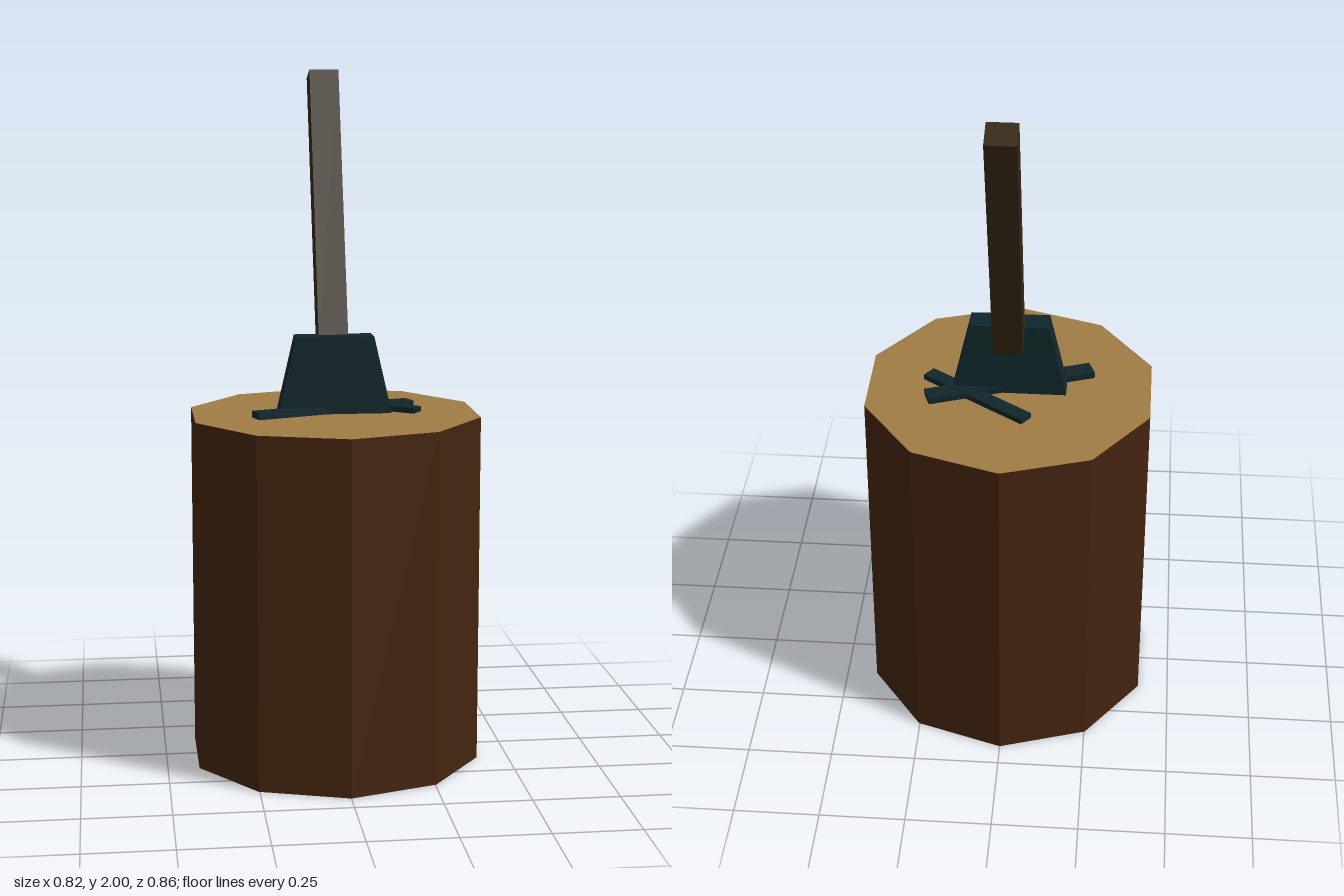
import * as THREE from 'three';

const mat = (name, color) => {
  const m = new THREE.MeshStandardMaterial({ color });
  m.name = name;
  m.flatShading = true;
  return m;
};

export function createModel() {
  const bark = mat('bark', 0x44240f);
  const cutWood = mat('cutWood', 0xa07c43);
  const iron = mat('iron', 0x0f262b);
  const handleWood = mat('handleWood', 0x352813);

  const model = new THREE.Group();
  model.name = 'axeInStump';
  const add = (name, geometry, material) => {
    const mesh = new THREE.Mesh(geometry, material);
    mesh.name = name;
    model.add(mesh);
    return mesh;
  };

  // Ten-sided chopping block: bark sides and base, pale cut top
  const H = 1.02;
  add('stump', new THREE.CylinderGeometry(0.43, 0.43, H, 10), [bark, cutWood, bark])
    .position.y = H / 2;

  // Axe head: trapezoid, wide cutting edge down in the wood
  const headShape = new THREE.Shape([
    [-0.166, H - 0.005], [0.166, H - 0.005], [0.113, 1.245], [-0.113, 1.245],
  ].map(([x, y]) => new THREE.Vector2(x, y)));
  add('axeHead', new THREE.ExtrudeGeometry(headShape, { depth: 0.072, bevelEnabled: false }), iron)
    .position.z = -0.037;

  // Handle leaning back from the head
  const handle = add('handle', new THREE.BoxGeometry(0.086, 0.836, 0.084), handleWood);
  handle.position.set(0, 1.59, -0.17);
  handle.rotation.x = -0.316;

  // Dark splits lying across the cut top: length, width, x, z, turn, top height
  [
    [0.499, 0.054, 0, -0.001, 20, 1.039],
    [0.364, 0.044, 0.091, -0.07, -35, 1.036],
  ].forEach(([length, width, x, z, turn, top], i) => {
    const split = add(`split${i + 1}`, new THREE.BoxGeometry(length, 0.03, width), iron);
    split.position.set(x, top - 0.015, z);
    split.rotation.y = THREE.MathUtils.degToRad(turn);
  });

  return model;
}
